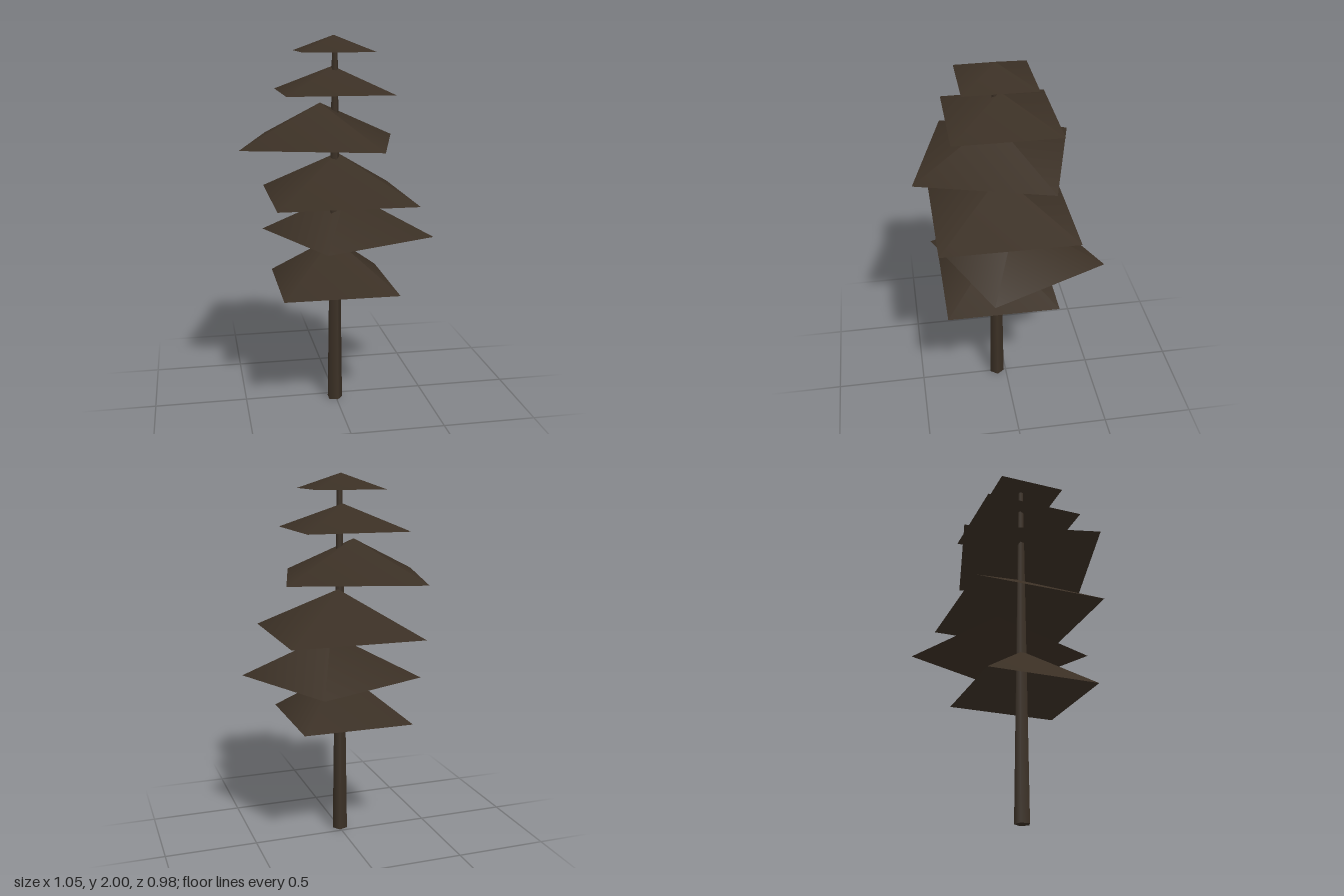
import * as THREE from 'three';

export function createModel() {
  const tree = new THREE.Group();
  tree.name = 'pineTree';

  const brown = new THREE.MeshStandardMaterial({ color: 0x3b3025, side: THREE.DoubleSide });
  brown.name = 'darkBrown';

  // Tapered five-sided trunk with one corner towards +x
  const trunkHeight = 1.97;
  const trunk = new THREE.Mesh(
    new THREE.CylinderGeometry(0.015, 0.043, trunkHeight, 5, 1, false, Math.PI / 2),
    brown
  );
  trunk.name = 'trunk';
  trunk.position.set(-0.006, trunkHeight / 2, 0.053);
  tree.add(trunk);

  // Open four-sided branch tiers: corner radius, base and apex heights, centre, turn
  const square = Math.PI / 4;
  const tiers = [
    { r: 0.429, base: 0.68, apex: 0.935, x: -0.015, z: 0.05, turn: square },
    { r: 0.482, base: 0.93, apex: 1.165, x: 0.077, z: -0.045, turn: 1.193 },
    { r: 0.513, base: 1.158, apex: 1.39, x: 0.012, z: 0.028, turn: square },
    { r: 0.507, base: 1.452, apex: 1.657, x: -0.083, z: 0.048, turn: 0.51 },
    { r: 0.389, base: 1.71, apex: 1.843, x: -0.013, z: 0.025, turn: square },
    { r: 0.264, base: 1.918, apex: 2.0, x: -0.011, z: 0.048, turn: square },
  ];
  tiers.forEach(({ r, base, apex, x, z, turn }, i) => {
    const tier = new THREE.Mesh(new THREE.ConeGeometry(r, apex - base, 4, 1, true), brown);
    tier.name = `branchTier${i + 1}`;
    tier.position.set(x, (base + apex) / 2, z);
    tier.rotation.y = turn;
    tree.add(tier);
  });

  return tree;
}
